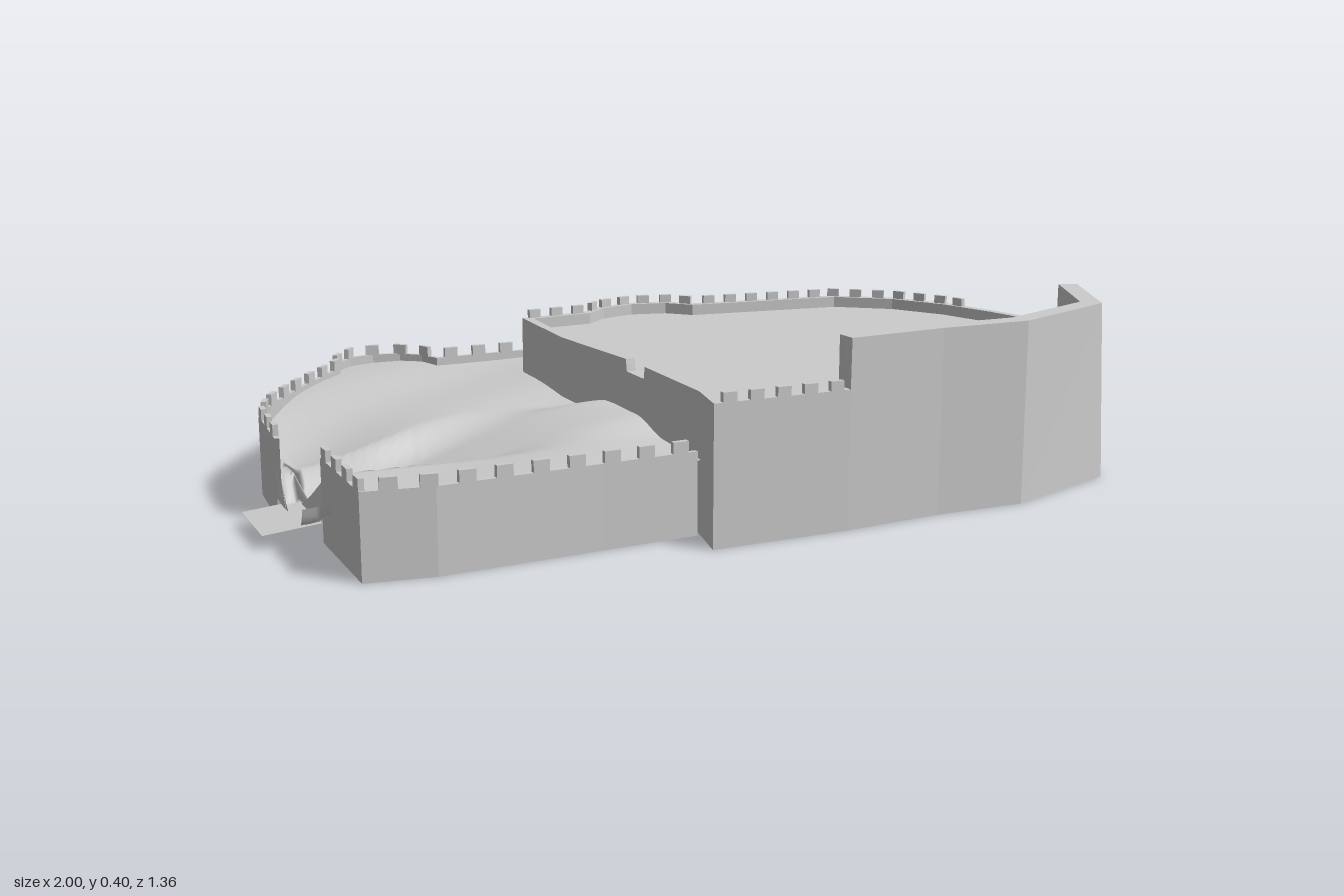
import * as THREE from 'three';

const flat = new THREE.MeshStandardMaterial({ color: 0xcccccc, flatShading: true, side: THREE.DoubleSide });
const smooth = new THREE.MeshStandardMaterial({ color: 0xcccccc, side: THREE.DoubleSide });
const { lerp, smoothstep, clamp } = THREE.MathUtils;

function add(group, name, geometry, material = flat) {
  const mesh = new THREE.Mesh(geometry, material);
  mesh.name = name;
  group.add(mesh);
  return mesh;
}

// Skin a list of equally long rows of [x, y, z] points
function loft(rows, closed = false) {
  const n = rows[0].length, index = [];
  for (let r = 0; r < rows.length - 1; r++) {
    for (let i = 0; i < (closed ? n : n - 1); i++) {
      const a = r * n + i, b = r * n + (i + 1) % n;
      index.push(a, a + n, b, b, a + n, b + n);
    }
  }
  const g = new THREE.BufferGeometry();
  g.setAttribute('position', new THREE.Float32BufferAttribute(rows.flat(2), 3));
  g.setIndex(index);
  g.computeVertexNormals();
  return g;
}

// Move a clockwise [x, z] path inward by a width per point
function inset(path, width, closed) {
  const n = path.length;
  const normal = (a, b) => {
    const dx = b[0] - a[0], dz = b[1] - a[1], l = Math.hypot(dx, dz);
    return [-dz / l, dx / l];
  };
  return path.map((p, i) => {
    const prev = path[closed ? (i + n - 1) % n : i - 1], next = path[closed ? (i + 1) % n : i + 1];
    const a = prev ? normal(prev, p) : normal(p, next), b = next ? normal(p, next) : a;
    const k = width(i) / Math.max(0.5, 1 + a[0] * b[0] + a[1] * b[1]);
    return [p[0] + (a[0] + b[0]) * k, p[1] + (a[1] + b[1]) * k];
  });
}

// Evenly spaced blocks along an [x, z] path
function merlons(group, name, path, y, step, [length, height, depth]) {
  const set = new THREE.Group();
  set.name = name;
  const box = new THREE.BoxGeometry(length, height, depth);
  let next = step / 2, travelled = 0;
  for (let i = 0; i < path.length - 1; i++) {
    const [x, z] = path[i], dx = path[i + 1][0] - x, dz = path[i + 1][1] - z, l = Math.hypot(dx, dz);
    for (; next < travelled + l; next += step) {
      const t = (next - travelled) / l;
      const m = add(set, 'merlon', box);
      m.position.set(x + dx * t - dz / l * depth / 2, y + height / 2 - 0.002, z + dz * t + dx / l * depth / 2);
      m.rotation.y = -Math.atan2(dz, dx);
    }
    travelled += l;
  }
  group.add(set);
}

const LOW = 0.295, HIGH = 0.4, FLOOR = 0.268;

// Upper court rim, clockwise: x, z, wall top height, inward lean at the top
const upper = [
  [-0.205, 0.66, LOW, 0], [-0.18, 0.55, LOW, 0], [-0.175, 0.29, LOW, 0], [-0.175, 0.285, FLOOR, 0],
  [-0.175, 0.2, FLOOR, 0], [-0.175, 0.195, LOW, 0], [-0.203, -0.1, LOW, 0], [-0.19, -0.38, LOW, 0],
  [-0.02, -0.39, LOW, 0], [0.04, -0.44, LOW, 0], [0.14, -0.465, LOW, 0], [0.24, -0.44, LOW, 0],
  [0.29, -0.385, LOW, 0], [0.69, -0.34, LOW, 0.01], [0.83, -0.24, LOW, 0.02], [0.91, -0.1, LOW, 0.022],
  [0.955, 0.05, LOW, 0.025], [1, 0.3, LOW, 0.025], [0.98, 0.34, HIGH, 0.025], [0.84, 0.58, HIGH, 0.018],
  [0.54, 0.672, HIGH, 0.003], [0.33, 0.66, HIGH, 0], [0.101, 0.67, HIGH, 0], [0.1, 0.67, LOW, 0],
];

// Lower court walls, clockwise
const lowerBack = [
  [-0.925, 0.09], [-0.91, -0.12], [-0.87, -0.22], [-0.78, -0.35], [-0.62, -0.55], [-0.61, -0.6],
  [-0.56, -0.665], [-0.49, -0.68], [-0.42, -0.66], [-0.37, -0.615], [-0.35, -0.565], [-0.05, -0.563],
  [0.05, -0.59], [0.15, -0.61], [0.28, -0.565], [0.335, -0.49], [0.34, -0.37],
];
const lowerFront = [[-0.19, 0.565], [-0.4, 0.568], [-0.74, 0.575], [-0.88, 0.55], [-0.88, 0.28]];

// z of a path that runs along x
function zAt(path, x) {
  for (let i = 0; i < path.length - 1; i++) {
    const [x0, z0] = path[i], [x1, z1] = path[i + 1];
    if (x <= x1) return lerp(z0, z1, clamp((x - x0) / (x1 - x0), 0, 1));
  }
  return path[path.length - 1][1];
}

// Ground height: gentle hills cut by a rising road
function ground(x, z) {
  const road = lerp(0.035, 0.185, smoothstep(x, -0.95, -0.2));
  const hollow = 0.06 * Math.exp(-((x + 0.92) ** 2) / 0.06 - ((z - 0.02) ** 2) / 0.05);
  const ripple = 0.008 * Math.sin(x * 9 + z * 4) * Math.cos(z * 8);
  const land = 0.158 - hollow + ripple;
  const side = smoothstep(Math.abs(z - 0.185), 0.075, 0.125 + 0.08 * smoothstep(x, -0.75, -0.4));
  return Math.min(lerp(road, land, side), 0.19);
}

function terrain(x0, x1, columns, back, front) {
  const rows = [];
  for (let i = 0; i <= columns; i++) {
    const x = lerp(x0, x1, i / columns), row = [];
    for (let j = 0; j <= 70; j++) {
      const z = lerp(back(x), front(x), j / 70);
      row.push([x, ground(x, z), z]);
    }
    rows.push(row);
  }
  return loft(rows);
}

export function createModel() {
  const model = new THREE.Group();
  model.name = 'walledHill';

  // Upper court: leaning wall with an inner parapet, and its floor
  const top = inset(upper, i => upper[i][3], true);
  const inner = inset(top, i => upper[i][2] === HIGH ? 0.045 : 0.022, true);
  add(model, 'upperWall', loft([
    upper.map(([x, z]) => [x, 0, z]),
    top.map(([x, z], i) => [x, upper[i][2], z]),
    inner.map(([x, z], i) => [x, upper[i][2], z]),
    inner.map(([x, z]) => [x, FLOOR, z]),
  ], true));
  const floor = new THREE.Shape(inset(top, () => 0.008, true).map(([x, z]) => new THREE.Vector2(x, -z)));
  add(model, 'upperFloor', new THREE.ShapeGeometry(floor).rotateX(-Math.PI / 2).translate(0, FLOOR, 0));
  const block = [0.03, 0.022, 0.012];
  merlons(model, 'upperBackMerlons', [...top.slice(7, 16), [0.905, -0.02]], LOW, 0.06, block);
  merlons(model, 'upperFrontMerlons', [top[23], top[0]], LOW, 0.06, block);

  // Lower court walls
  for (const [name, path] of [['lowerBackWall', lowerBack], ['lowerFrontWall', lowerFront]]) {
    const inside = inset(path, () => 0.01, false);
    add(model, name, loft([
      path.map(([x, z]) => [x, 0, z]),
      path.map(([x, z]) => [x, 0.176, z]),
      inside.map(([x, z]) => [x, 0.176, z]),
      inside.map(([x, z]) => [x, 0.03, z]),
    ]));
    merlons(model, name + 'Merlons', path, 0.176, 0.075, [0.034, 0.026, 0.012]);
  }

  // Ground of the lower court, beside and behind the upper court
  const backEdge = x => zAt(lowerBack, x);
  const frontEdge = x => x < -0.88 ? 0.28 : zAt([...lowerFront].reverse().slice(1), x);
  add(model, 'lowerGround', terrain(-0.92, -0.18, 80, backEdge, frontEdge), smooth);
  add(model, 'rearGround', terrain(-0.18, 0.338, 40, backEdge, () => -0.375), smooth);

  // Road apron outside the lower gate
  add(model, 'roadApron', loft([
    [[-1, 0.03, 0.095], [-1, 0.03, 0.275]],
    [[-0.88, 0.04, 0.095], [-0.88, 0.04, 0.275]],
  ]));
  return model;
}
